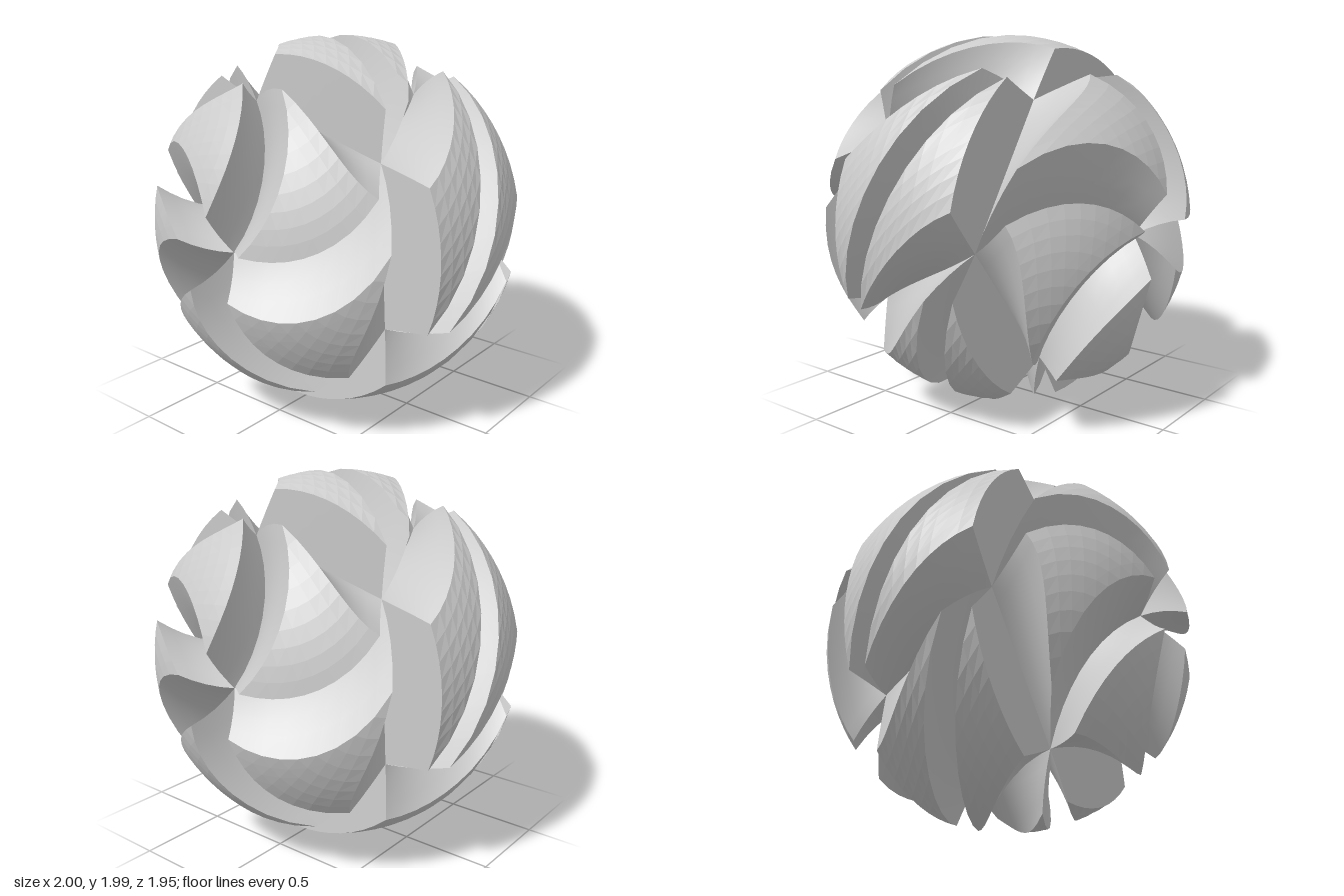
import * as THREE from 'three';

const INNER = 0.8;         // radius of the pit points, an icosahedron
const APEX = 2.57;         // distance at which the walls of one block would meet
const TWIST = THREE.MathUtils.degToRad(93); // turn per unit along z
const N = 9, ROWS = 4;     // divisions along a block edge and up its walls

const ring = (angle, z, r) => new THREE.Vector3(r * Math.cos(angle), r * Math.sin(angle), z);

// turn a point about the z axis in proportion to its depth
const twist = p => p.applyAxisAngle(new THREE.Vector3(0, 0, 1), -TWIST * p.z);

// follow the line from a base point to the apex until it meets the unit sphere
function toSphere(q, apex) {
  const d = apex.clone().sub(q).normalize();
  const b = q.dot(d);
  return q.clone().addScaledVector(d, -b + Math.sqrt(b * b - q.lengthSq() + 1));
}

function surface(points, index) {
  const g = new THREE.BufferGeometry().setFromPoints(points.map(twist));
  g.setIndex(index);
  g.computeVertexNormals();
  return g;
}

// triangular outer skin of a block
function capGeometry([a, b, c], apex) {
  const points = [], index = [];
  const id = (i, j) => i * (i + 1) / 2 + j;
  for (let i = 0; i <= N; i++) {
    for (let j = 0; j <= i; j++) {
      const q = a.clone().multiplyScalar((N - i) / N)
        .addScaledVector(b, (i - j) / N).addScaledVector(c, j / N);
      points.push(toSphere(q, apex));
      if (i < N) index.push(id(i, j), id(i + 1, j), id(i + 1, j + 1));
      if (i < N && j < i) index.push(id(i, j), id(i + 1, j + 1), id(i, j + 1));
    }
  }
  return surface(points, index);
}

// one groove wall, rising from the base edge to the rim of the skin
function wallGeometry(a, b, apex) {
  const points = [], index = [], w = N + 1;
  for (let r = 0; r <= ROWS; r++) {
    for (let i = 0; i <= N; i++) {
      const q = a.clone().lerp(b, i / N);
      points.push(q.clone().lerp(toSphere(q, apex), r / ROWS));
      if (r < ROWS && i < N) {
        const k = r * w + i;
        index.push(k, k + 1, k + w + 1, k, k + w + 1, k + w);
      }
    }
  }
  return surface(points, index);
}

export function createModel() {
  const model = new THREE.Group();
  model.name = 'twistedSphere';
  const capMat = new THREE.MeshStandardMaterial({ color: 0xcccccc, flatShading: true });
  const wallMat = new THREE.MeshStandardMaterial({ color: 0xcccccc, side: THREE.DoubleSide });

  // pit points: two poles and two rings of five
  const z = INNER / Math.sqrt(5), step = Math.PI * 2 / 5;
  const north = new THREE.Vector3(0, 0, INNER), south = new THREE.Vector3(0, 0, -INNER);
  const front = k => ring(k * step, z, 2 * z);
  const back = k => ring((k + 0.5) * step, -z, 2 * z);

  function addBlock(name, corners) {
    const block = new THREE.Group();
    block.name = name;
    const apex = corners[0].clone().add(corners[1]).add(corners[2]).setLength(APEX);
    const cap = new THREE.Mesh(capGeometry(corners, apex), capMat);
    cap.name = 'outerSkin';
    block.add(cap);
    for (let i = 0; i < 3; i++) {
      const wall = new THREE.Mesh(wallGeometry(corners[i], corners[(i + 1) % 3], apex), wallMat);
      wall.name = 'grooveWall';
      block.add(wall);
    }
    model.add(block);
  }

  // five front petals, ten band blocks, five back petals
  for (let k = 0; k < 5; k++) {
    addBlock('frontPetal', [north, front(k), front(k + 1)]);
    addBlock('bandBlockFront', [front(k), back(k), front(k + 1)]);
    addBlock('bandBlockBack', [back(k), back(k + 1), front(k + 1)]);
    addBlock('backPetal', [south, back(k + 1), back(k)]);
  }
  model.position.y = 1;
  return model;
}
